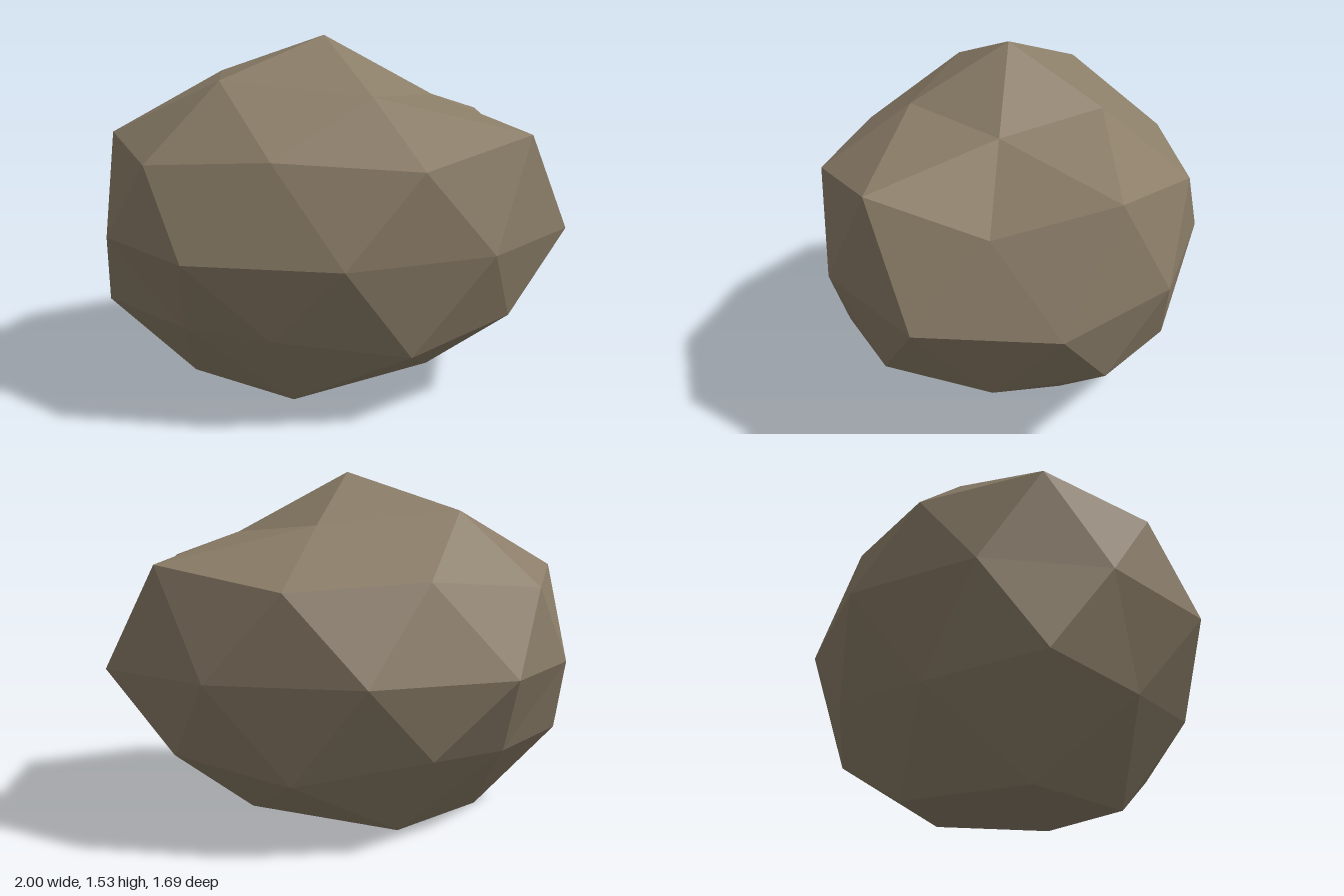
import * as THREE from 'three';

// Each ring lists its points on the +z half, from +x round to -x; the -z half is mirrored.
const mirrorRing = (half) => [
  ...half,
  ...half.filter((p) => p[2] > 0).reverse().map(([x, y, z]) => [x, y, -z]),
];

export function createModel() {
  const stone = new THREE.MeshStandardMaterial({ color: 0x8b7d68 });
  stone.name = 'stone brown';

  // Poles and the five rings between them, top to bottom
  const top = [-0.03, 1.53, 0];
  const crown = mirrorRing([[0.45, 1.27, 0], [0.13, 1.3, 0.4], [-0.48, 1.36, 0.27]]);
  const upper = mirrorRing([
    [0.85, 1.03, 0], [0.77, 1.15, 0.47], [0.28, 1.06, 0.76],
    [-0.29, 1.09, 0.67], [-0.78, 1.05, 0.45], [-0.95, 1.12, 0],
  ]);
  const middle = mirrorRing([
    [1, 0.71, 0.275], [0.58, 0.71, 0.68], [-0.03, 0.71, 0.845],
    [-0.635, 0.71, 0.69], [-0.965, 0.71, 0.25],
  ]);
  const lower = mirrorRing([
    [0.8, 0.34, 0], [0.71, 0.38, 0.44], [0.25, 0.31, 0.7],
    [-0.3, 0.4, 0.71], [-0.65, 0.36, 0.41], [-1, 0.36, 0],
  ]);
  const foot = mirrorRing([[0.4, 0.1, 0.26], [-0.2, 0.04, 0.45], [-0.63, 0, 0]]);
  const bottom = [0, 0.05, 0];

  const positions = [];
  const tri = (a, b, c) => positions.push(...a, ...b, ...c);
  const at = (ring, i) => ring[(i + ring.length) % ring.length];

  // Top and bottom caps
  for (let k = 0; k < 5; k++) {
    const a = at(crown, k), b = at(crown, k + 1), m = at(upper, 2 * k + 1);
    tri(top, b, a);
    tri(a, b, m);
    tri(a, m, at(upper, 2 * k));
    tri(b, at(upper, 2 * k + 2), m);

    const c = at(foot, k), d = at(foot, k + 1), n = at(lower, 2 * k + 2);
    tri(bottom, c, d);
    tri(c, n, d);
    tri(c, at(lower, 2 * k + 1), n);
    tri(d, n, at(lower, 2 * k + 3));
  }

  // Zigzag bands above and below the middle ring
  for (let j = 0; j < 10; j++) {
    const m0 = at(middle, j), m1 = at(middle, j + 1);
    tri(at(upper, j + 1), m0, at(upper, j));
    tri(at(upper, j + 1), m1, m0);
    tri(m0, at(lower, j + 1), at(lower, j));
    tri(m0, m1, at(lower, j + 1));
  }

  const geometry = new THREE.BufferGeometry();
  geometry.setAttribute('position', new THREE.Float32BufferAttribute(positions, 3));
  geometry.computeVertexNormals(); // unshared corners give flat facets

  const boulder = new THREE.Mesh(geometry, stone);
  boulder.name = 'boulder';
  const group = new THREE.Group();
  group.name = 'rock';
  group.add(boulder);
  return group;
}
